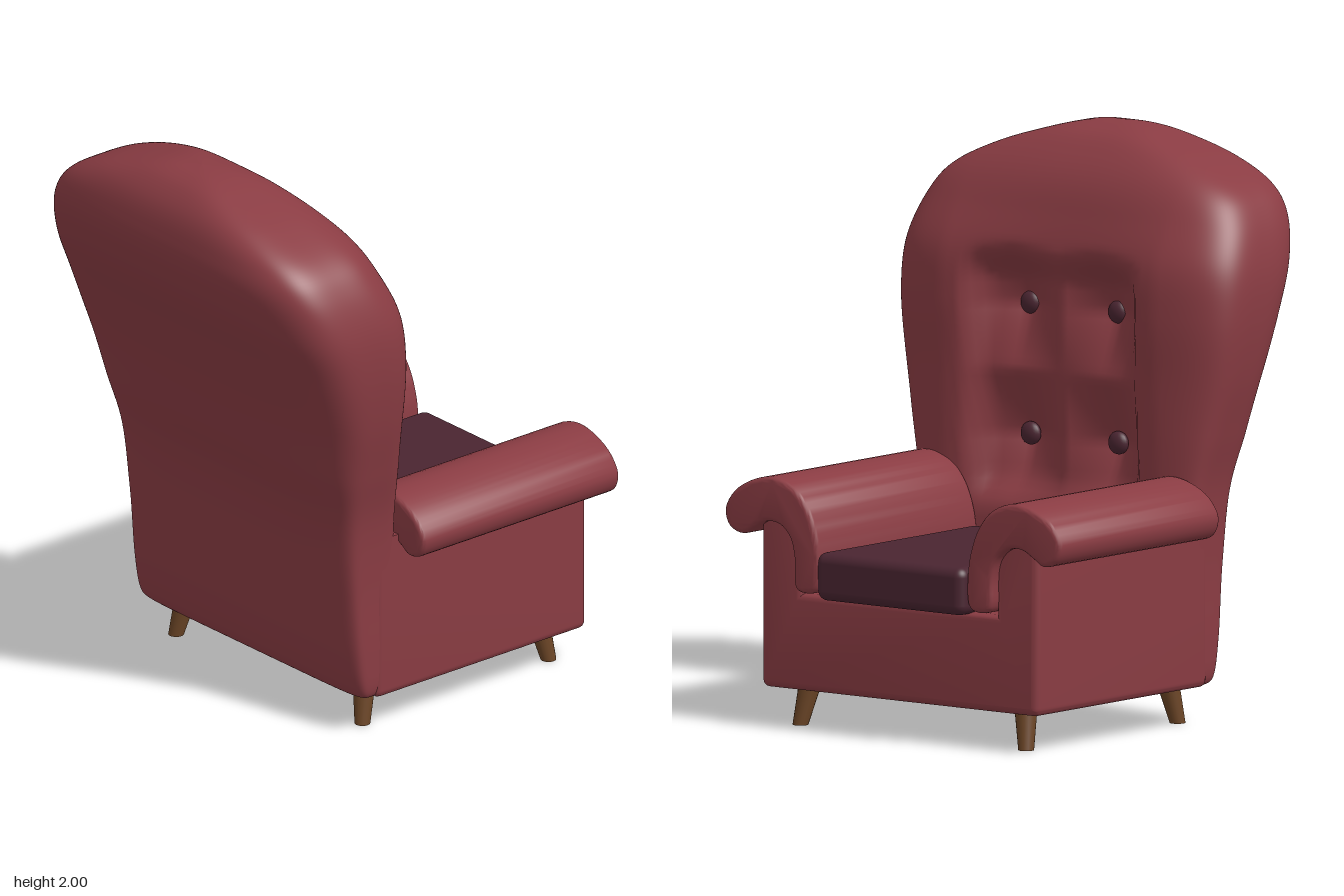
import * as THREE from 'three';
import { toCreasedNormals } from 'three/addons/utils/BufferGeometryUtils.js';
import { RoundedBoxGeometry } from 'three/addons/geometries/RoundedBoxGeometry.js';

const red = new THREE.MeshStandardMaterial({ color: 0x8a3c43 });
const plum = new THREE.MeshStandardMaterial({ color: 0x4a2531 });
const wood = new THREE.MeshStandardMaterial({ color: 0x6b4526 });

const BUTTONS = [[1.38, 0.19], [1.38, -0.19], [0.93, 0.19], [0.93, -0.19]]; // y, z
const { smoothstep } = THREE.MathUtils;

// Backrest profile: height, rear x, front x, half width
const BACK = [
  [0.13, -0.29, -0.2, 0.56], [0.16, -0.33, -0.17, 0.592], [0.3, -0.36, -0.15, 0.598],
  [0.55, -0.385, -0.15, 0.598], [0.8, -0.42, -0.14, 0.615], [1.0, -0.485, -0.13, 0.66],
  [1.2, -0.55, -0.12, 0.705], [1.4, -0.625, -0.112, 0.73], [1.57, -0.7, -0.125, 0.725],
  [1.72, -0.74, -0.19, 0.68], [1.82, -0.735, -0.245, 0.6], [1.9, -0.71, -0.31, 0.44],
  [1.96, -0.66, -0.38, 0.25], [1.99, -0.6, -0.46, 0.12], [2.0, -0.53, -0.53, 0],
];

// Depth of the hollow and the button tufts on the front of the backrest
function hollow(y, z) {
  const az = Math.abs(z);
  let d = 0.045 * Math.max(0, 1 - (z / 0.46) ** 2) * (1 - smoothstep(y, 1.5, 1.9));
  d += 0.05 * (1 - smoothstep(az, 0.3, 0.39)) * smoothstep(y, 0.66, 0.8) * (1 - smoothstep(y, 1.46, 1.58));
  for (const [by, bz] of BUTTONS) {
    const a = Math.max(0, 1 - Math.abs(z - bz) / 0.19);
    const b = Math.max(0, 1 - Math.abs(y - by) / 0.22);
    d += 0.1 * a * b;
  }
  return d;
}

// Stacked rounded-rectangle rings, hollowed on the front
function backGeometry() {
  const [rear, front, width] = [1, 2, 3].map(
    (k) => new THREE.SplineCurve(BACK.map((r) => new THREE.Vector2(r[0], r[k]))));
  const rows = 112, cols = 192, pos = [], index = [];
  for (let i = -1; i <= rows; i++) {
    const t = Math.max(i, 0) / rows;
    const { x: y, y: xb } = rear.getPoint(t);
    const xf = front.getPoint(t).y, w = width.getPoint(t).y;
    const n = 7 - 3.3 * smoothstep(y, 0.5, 1.2);
    const size = i < 0 ? 0 : 1; // first ring closes the bottom
    for (let j = 0; j < cols; j++) {
      const a = (j / cols) * Math.PI * 2, c = Math.cos(a), s = Math.sin(a);
      const r = size * (Math.abs(c) ** n + Math.abs(s) ** n) ** (-1 / n);
      const z = w * s * r;
      let x = (xf + xb) / 2 + ((xf - xb) / 2) * c * r;
      if (c > 0) x -= hollow(y, z) * smoothstep(c * r, 0.5, 0.9);
      pos.push(x, y, z);
    }
  }
  for (let i = 0; i <= rows; i++) {
    for (let j = 0; j < cols; j++) {
      const k = (j + 1) % cols;
      const a = i * cols + j, b = i * cols + k, c = a + cols, d = b + cols;
      index.push(a, c, b, b, c, d);
    }
  }
  const g = new THREE.BufferGeometry();
  g.setAttribute('position', new THREE.Float32BufferAttribute(pos, 3));
  g.setIndex(index);
  g.computeVertexNormals();
  return g;
}

// Extrude a z-y outline along x between two positions, with soft edges
function extrudeX(shape, x0, x1, bevel) {
  const g = new THREE.ExtrudeGeometry(shape, {
    depth: x1 - x0 - 2 * bevel, curveSegments: 8, bevelEnabled: true,
    bevelThickness: bevel, bevelSize: bevel, bevelOffset: -bevel, bevelSegments: 4,
  });
  g.rotateY(Math.PI / 2).translate(x0 + bevel, 0, 0);
  return toCreasedNormals(g, 0.7);
}

// Seat box with raised side walls
function bodyShape() {
  const s = new THREE.Shape(), r = 0.03;
  s.moveTo(-0.6 + r, 0.13).lineTo(0.6 - r, 0.13);
  s.quadraticCurveTo(0.6, 0.13, 0.6, 0.13 + r);
  s.lineTo(0.6, 0.72).lineTo(0.42, 0.72).lineTo(0.42, 0.465);
  s.lineTo(-0.42, 0.465).lineTo(-0.42, 0.72).lineTo(-0.6, 0.72).lineTo(-0.6, 0.13 + r);
  s.quadraticCurveTo(-0.6, 0.13, -0.6 + r, 0.13);
  return s;
}

// Scrolled arm outline
function armShape(side) {
  const outline = [
    [0.325, 0.5], [0.322, 0.6], [0.335, 0.68], [0.37, 0.765], [0.43, 0.83], [0.52, 0.86],
    [0.61, 0.845], [0.69, 0.8], [0.73, 0.735], [0.71, 0.675], [0.65, 0.655], [0.605, 0.68],
    [0.555, 0.705], [0.495, 0.7], [0.45, 0.66], [0.43, 0.59], [0.428, 0.5], [0.41, 0.477], [0.345, 0.477],
  ].map(([z, y]) => new THREE.Vector3(-side * z, y, 0));
  const curve = new THREE.CatmullRomCurve3(outline, true);
  return new THREE.Shape(curve.getPoints(76).slice(0, -1).map((p) => new THREE.Vector2(p.x, p.y)));
}

export function createModel() {
  const chair = new THREE.Group();
  chair.name = 'armchair';
  const add = (name, geometry, material, x = 0, y = 0, z = 0) => {
    const m = new THREE.Mesh(geometry, material);
    m.name = name;
    m.position.set(x, y, z);
    chair.add(m);
    return m;
  };

  add('backrest', backGeometry(), red);
  add('seatBase', extrudeX(bodyShape(), -0.26, 0.68, 0.025), red);
  add('seatCushion', new RoundedBoxGeometry(0.87, 0.165, 0.64, 5, 0.035), plum, 0.305, 0.54, 0);

  // Tuft buttons
  for (const [y, z] of BUTTONS) {
    add('button', new THREE.SphereGeometry(0.04, 20, 14), plum, -0.285, y, z).scale.x = 0.65;
  }

  for (const side of [1, -1]) {
    add(side > 0 ? 'leftArm' : 'rightArm', extrudeX(armShape(side), -0.163, 0.718, 0.018), red);

    // Tapered legs, splayed outward
    for (const [name, x, dx] of [['frontLeg', 0.57, 0.03], ['backLeg', -0.2, -0.03]]) {
      const leg = new THREE.CylinderGeometry(0.041, 0.027, 0.16, 20);
      const p = leg.attributes.position;
      for (let i = 0; i < p.count; i++) {
        const drop = (0.08 - p.getY(i)) / 0.16;
        p.setX(i, p.getX(i) + dx * drop);
        p.setZ(i, p.getZ(i) + side * 0.025 * drop);
      }
      leg.computeVertexNormals();
      add(name, leg, wood, x, 0.08, side * 0.465);
    }
  }
  return chair;
}
